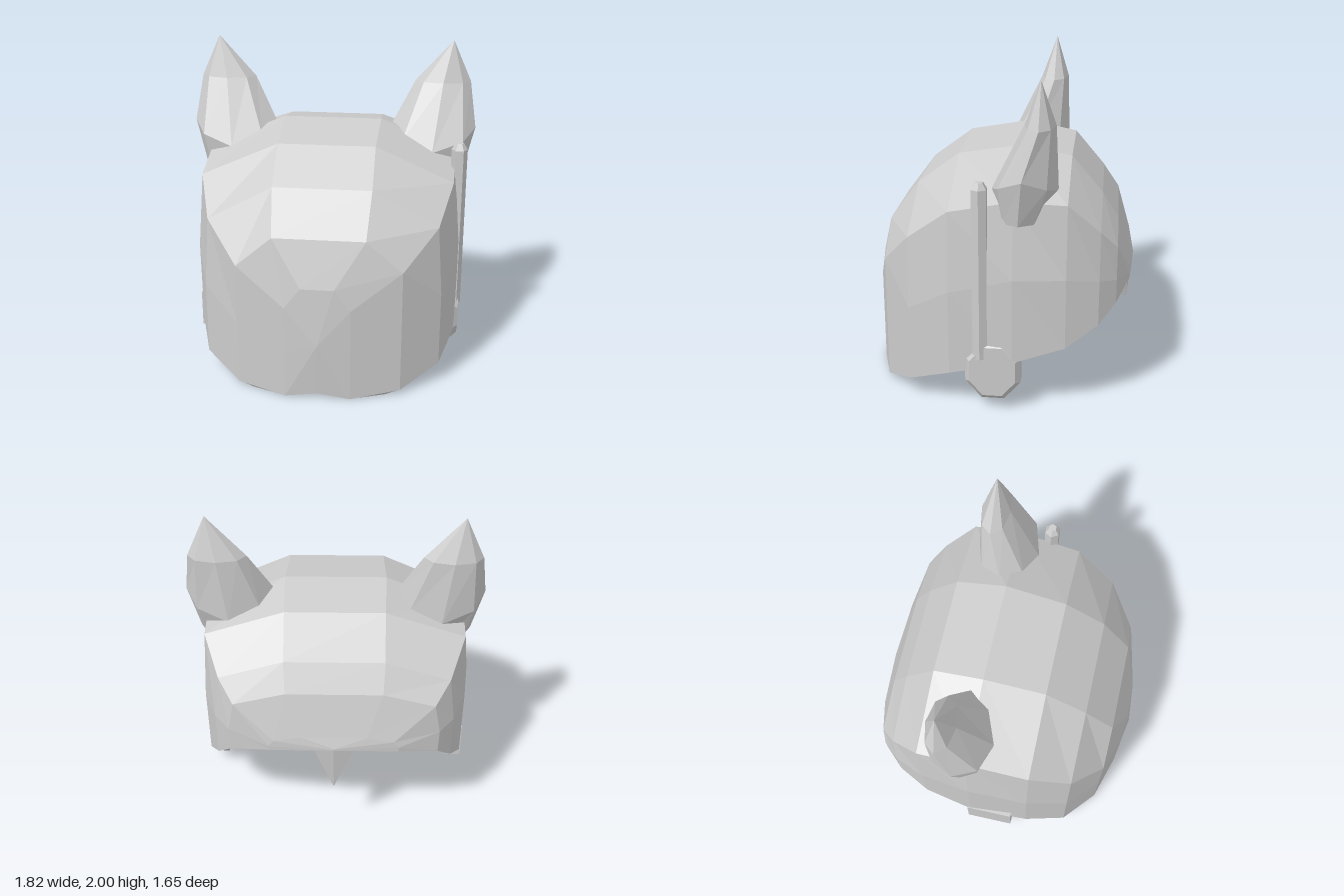
import * as THREE from 'three';
import { ConvexGeometry } from 'three/addons/geometries/ConvexGeometry.js';

// Triangles from rings of points; rings may be closed, and capped by a start or end point
function loft(rings, { closed = false, start = null, end = null } = {}) {
  const out = [];
  const tri = (a, b, c) => out.push(...a, ...b, ...c);
  const n = rings[0].length, m = closed ? n : n - 1;
  for (let i = 0; i < rings.length - 1; i++) {
    for (let j = 0; j < m; j++) {
      const k = (j + 1) % n;
      const a = rings[i][j], b = rings[i + 1][j], c = rings[i + 1][k], d = rings[i][k];
      tri(a, b, d);
      tri(d, b, c);
    }
  }
  const last = rings[rings.length - 1];
  for (let j = 0; j < m; j++) {
    const k = (j + 1) % n;
    if (start) tri(start, rings[0][j], rings[0][k]);
    if (end) tri(end, last[k], last[j]);
  }
  const g = new THREE.BufferGeometry();
  g.setAttribute('position', new THREE.Float32BufferAttribute(out, 3));
  g.computeVertexNormals();
  return g;
}

export function createModel() {
  const group = new THREE.Group();
  const grey = new THREE.MeshStandardMaterial({ color: 0xcccccc, flatShading: true, side: THREE.DoubleSide });
  grey.name = 'plain grey';
  const add = (name, geometry) => {
    const mesh = new THREE.Mesh(geometry, grey);
    mesh.name = name;
    group.add(mesh);
    return mesh;
  };

  // Helmet shell: arches from front to back
  // z, then x and y of rim, wall, shoulder and crown
  const arches = [
    [0.79, 0.2, 0, 0.2, 0.3, 0.2, 0.6, 0.1, 0.73],
    [0.7, 0.5, 0.03, 0.5, 0.43, 0.5, 0.82, 0.28, 1.01],
    [0.515, 0.73, 0.13, 0.73, 0.6, 0.7, 1.04, 0.3, 1.26],
    [0.26, 0.815, 0.225, 0.82, 0.75, 0.78, 1.235, 0.3, 1.45],
    [-0.12, 0.845, 0.325, 0.845, 0.85, 0.79, 1.31, 0.31, 1.515],
    [-0.43, 0.8, 0.415, 0.805, 0.85, 0.78, 1.295, 0.3, 1.455],
    [-0.62, 0.72, 0.54, 0.725, 0.82, 0.69, 1.11, 0.3, 1.23],
    [-0.72, 0.63, 0.65, 0.635, 0.8, 0.6, 0.99, 0.29, 1.07],
    [-0.8, 0.385, 0.71, 0.39, 0.74, 0.36, 0.78, 0.2, 0.81],
    [-0.825, 0, 0.73, 0, 0.73, 0, 0.735, 0, 0.74],
  ];
  const rings = arches.map(([z, ...p]) => {
    const half = [0, 2, 4, 6].map((i) => [p[i], p[i + 1], z]);
    return [...half, ...half.map(([x, y]) => [-x, y, z]).reverse()];
  });
  add('helmetShell', loft(rings, { start: [0, 0.37, 0.825] }));

  // Chin piece closing the front down to the notched rim
  add('chin', loft([
    [[-0.2, 0, 0.79], [0, 0.035, 0.8], [0.2, 0, 0.79]],
    [[0, 0.37, 0.825], [0, 0.37, 0.825], [0, 0.37, 0.825]].map((p) => [...p]),
  ].reverse()));
  // Thickened lower lip on each side
  for (const s of [1, -1]) {
    add(s > 0 ? 'leftLip' : 'rightLip', new ConvexGeometry([
      [0.2, 0, 0.785], [0.41, 0, 0.71], [0.5, 0.03, 0.695], [0.2, 0.04, 0.785], [0.2, 0.035, 0.7],
    ].map(([x, y, z]) => new THREE.Vector3(s * x, y, z))));
  }

  // Pointed tongue under the back rim
  add('backTongue', new ConvexGeometry([
    [0.12, 0.72, -0.805], [-0.12, 0.72, -0.805], [0, 0.73, -0.825],
    [0, 0.415, -0.79], [0, 0.45, -0.715], [0, 0.57, -0.63], [0, 0.7, -0.68],
  ].map((p) => new THREE.Vector3(...p))));

  // Ears: eight-sided bulbs narrowing to a tip
  // Each ring: centre x, y, z, radius x, radius z, drop at front and back
  const earRings = [
    [0.695, 1.74, -0.265, 0.175, 0.09, 0],
    [0.64, 1.46, -0.175, 0.27, 0.195, 0.12],
    [0.67, 1.18, -0.15, 0.17, 0.13, 0],
  ];
  for (const s of [1, -1]) {
    const ear = earRings.map(([cx, cy, cz, rx, rz, drop]) =>
      Array.from({ length: 8 }, (_, i) => {
        const a = -s * i * Math.PI / 4;
        return [s * (cx + rx * Math.cos(a)), cy - drop * Math.sin(a) ** 2, cz + rz * Math.sin(a)];
      }));
    add(s > 0 ? 'leftEar' : 'rightEar',
      loft(ear, { closed: true, start: [s * 0.753, 2, -0.27], end: [s * 0.67, 1.16, -0.15] }));
  }

  // Antenna with a tapered tip
  const rod = add('antenna', new THREE.CylinderGeometry(0.05, 0.05, 1.05, 6));
  rod.position.set(0.81, 0.865, 0.07);
  rod.rotation.y = Math.PI / 2;
  const tip = add('antennaTip', new THREE.CylinderGeometry(0.026, 0.05, 0.04, 6));
  tip.position.set(0.81, 1.41, 0.07);
  tip.rotation.y = Math.PI / 2;

  // Bevelled eight-sided ear disc on the left
  const disc = new THREE.Group();
  disc.name = 'earDisc';
  for (const [name, top, x, h] of [['discBody', 0.2, 0.775, 0.07], ['discBevel', 0.165, 0.828, 0.036]]) {
    const g = new THREE.CylinderGeometry(top, 0.2, h, 8);
    g.rotateY(Math.PI / 8).rotateZ(-Math.PI / 2).scale(1, 1.03, 0.9);
    const mesh = new THREE.Mesh(g, grey);
    mesh.name = name;
    mesh.position.set(x, 0.26, -0.003);
    disc.add(mesh);
  }
  group.add(disc);

  // Square block on the right
  add('sideBlock', new THREE.BoxGeometry(0.1, 0.24, 0.3)).position.set(-0.8, 0.24, 0.01);

  return group;
}
